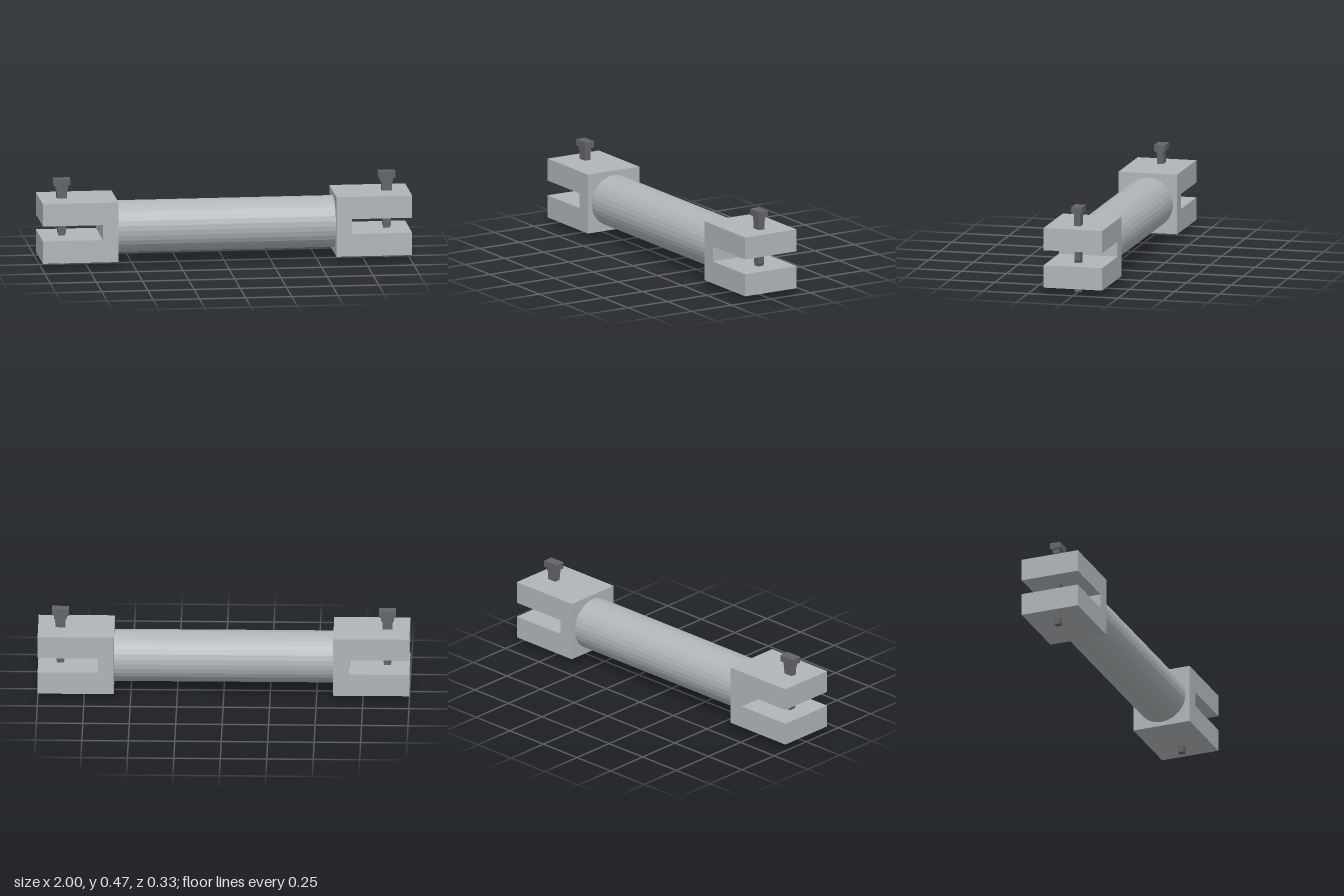
import * as THREE from 'three';

const steel = new THREE.MeshStandardMaterial({ color: 0xb0b5b8 });
steel.name = 'light steel';
steel.flatShading = true;
const darkSteel = new THREE.MeshStandardMaterial({ color: 0x636466 });
darkSteel.name = 'dark steel';

const MID_Y = 0.2;

// Extrudes an x/y outline, centred on z = 0
function extrudeXY(points, depth, material, name) {
  const shape = new THREE.Shape(points.map(([x, y]) => new THREE.Vector2(x, y)));
  const geometry = new THREE.ExtrudeGeometry(shape, { depth, bevelEnabled: false });
  geometry.translate(0, 0, -depth / 2);
  const mesh = new THREE.Mesh(geometry, material);
  mesh.name = name;
  return mesh;
}

function createEnd(side) {
  const end = new THREE.Group();
  end.name = side > 0 ? 'leftEnd' : 'rightEnd';

  // Fork block with a horizontal slot open to the outside
  const fork = extrudeXY([
    [0.59, 0.037], [1, 0.037], [1, 0.16], [0.675, 0.16],
    [0.675, 0.242], [1, 0.242], [1, 0.364], [0.59, 0.364],
  ], 0.326, steel, 'fork');

  // Stepped, tapering locking pin
  const halfProfile = [
    [0.015, 0], [0.018, 0.037], [0.018, 0.168], [0.022, 0.174],
    [0.023, 0.242], [0.027, 0.364], [0.028, 0.41], [0.034, 0.412], [0.034, 0.437],
  ];
  const mirrored = halfProfile.map(([x, y]) => [-x, y]).reverse();
  const shaft = extrudeXY([...halfProfile, ...mirrored], 0.035, darkSteel, 'pinShaft');
  const head = new THREE.Mesh(new THREE.BoxGeometry(0.092, 0.035, 0.058), darkSteel);
  head.name = 'pinHead';
  head.position.y = 0.4525;
  const pin = new THREE.Group();
  pin.name = 'lockingPin';
  pin.position.x = 0.88;
  pin.add(shaft, head);

  end.add(fork, pin);
  if (side < 0) end.rotation.y = Math.PI;
  return end;
}

export function createModel() {
  const model = new THREE.Group();
  model.name = 'forkedRod';

  // Round rod joining the two forks
  const rod = new THREE.Mesh(new THREE.CylinderGeometry(0.14, 0.14, 1.24, 32), steel);
  rod.name = 'rod';
  rod.rotation.z = Math.PI / 2;
  rod.position.y = MID_Y;

  model.add(rod, createEnd(1), createEnd(-1));
  return model;
}
